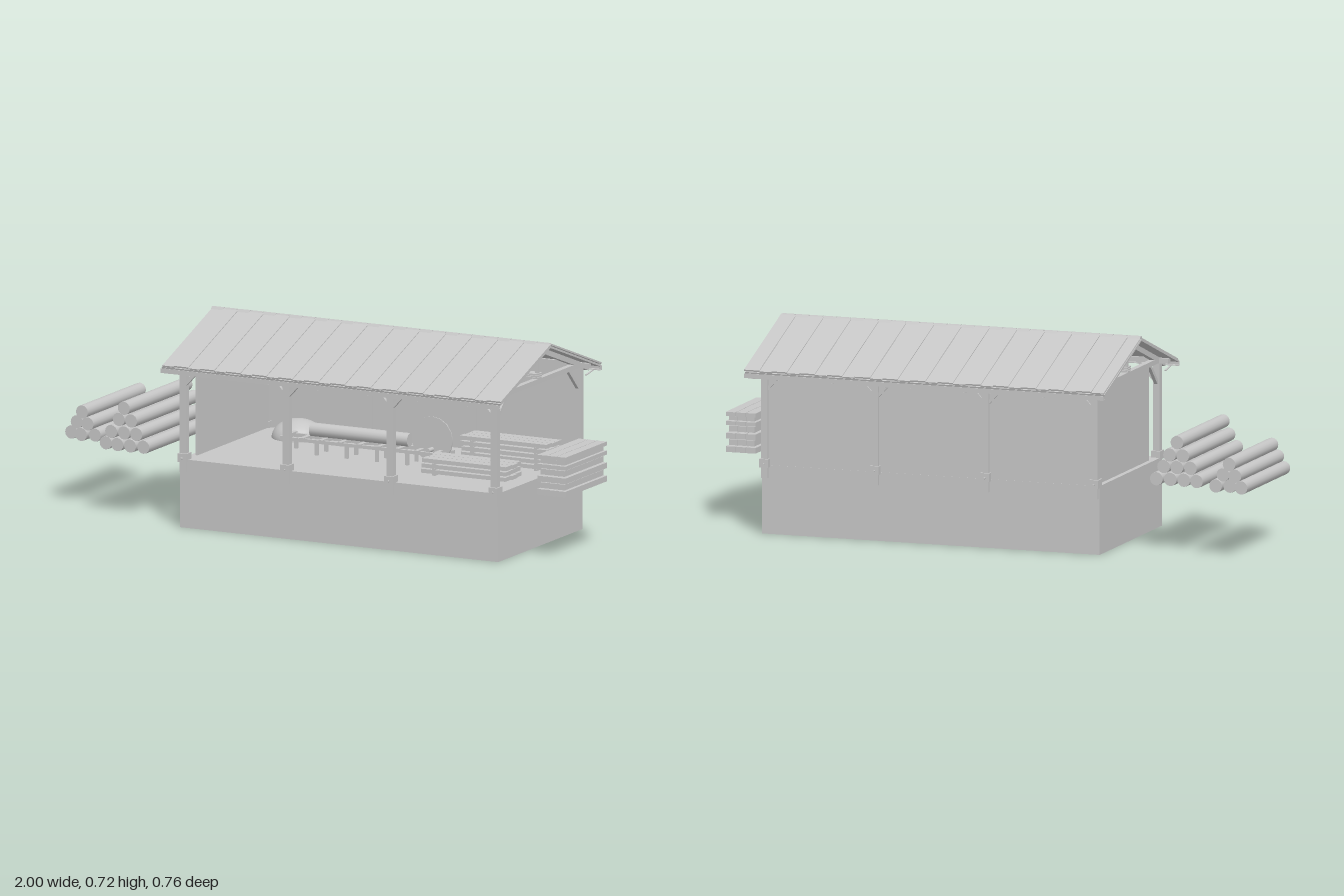
import * as THREE from 'three';

export function createModel() {
  const root = new THREE.Group();
  const grey = new THREE.MeshStandardMaterial({ color: 0xc6c6c6 });
  grey.name = 'plain grey';
  let seed = 7;
  const rnd = () => (seed = (seed * 16807) % 2147483647) / 2147483647;

  function group(name) {
    const g = new THREE.Group();
    g.name = name;
    root.add(g);
    return g;
  }
  function add(parent, name, geo, x = 0, y = 0, z = 0) {
    const m = new THREE.Mesh(geo, grey);
    m.name = name;
    m.position.set(x, y, z);
    parent.add(m);
    return m;
  }
  // Box given by its limits on each axis
  function block(parent, name, x0, x1, y0, y1, z0, z1) {
    return add(parent, name, new THREE.BoxGeometry(x1 - x0, y1 - y0, z1 - z0),
      (x0 + x1) / 2, (y0 + y1) / 2, (z0 + z1) / 2);
  }
  // Sloping bar between two points
  function bar(parent, name, a, b, w, h) {
    const p = new THREE.Vector3(...a), q = new THREE.Vector3(...b);
    const m = add(parent, name, new THREE.BoxGeometry(w, h, p.distanceTo(q)));
    m.position.copy(p).add(q).multiplyScalar(0.5);
    m.lookAt(q);
    return m;
  }
  function log(parent, name, r, len, x, y, z, alongX = false) {
    const m = add(parent, name, new THREE.CylinderGeometry(r, r, len, 16), x, y, z);
    if (alongX) m.rotation.z = Math.PI / 2;
    else m.rotation.x = Math.PI / 2;
    return m;
  }

  // Foundation and walls
  const building = group('building');
  block(building, 'foundation', -0.472, 0.776, 0, 0.242, -0.312, 0.312);
  block(building, 'backWall', -0.456, 0.765, 0.24, 0.58, -0.311, -0.303);
  const side = new THREE.Shape();
  side.moveTo(-0.305, 0.24);
  side.lineTo(-0.305, 0.58);
  side.lineTo(0.225, 0.58);
  side.lineTo(0.232, 0.568);
  side.lineTo(0.232, 0.24);
  const sideGeo = new THREE.ExtrudeGeometry(side, { depth: 0.008, bevelEnabled: false });
  sideGeo.rotateY(-Math.PI / 2);
  add(building, 'sideWall', sideGeo, -0.446, 0, 0);

  // Posts with footings and braces
  const frame = group('timberFrame');
  const postX = [-0.456, -0.053, 0.355, 0.764];
  const P = 0.012;
  for (const s of [1, -1]) {
    const z = s * 0.31;
    postX.forEach((x, i) => {
      block(frame, 'post', x - P, x + P, 0.24, 0.59, z - P, z + P);
      block(frame, 'postFootPlate', x - P, x + P, 0.197, 0.24, z - P, z + P);
      block(frame, 'postFootCollar', x - 0.017, x + 0.017, 0.235, 0.265, z - 0.02, z + 0.02);
      const bolt = log(frame, 'bolt', 0.004, 0.008, x, 0.248, z + s * 0.022);
      bolt.scale.y = 1;
      for (const d of [-1, 1]) {
        if ((i === 0 && d < 0) || (i === 3 && d > 0)) continue;
        bar(frame, 'longBrace', [x + d * 0.008, 0.51, z], [x + d * 0.07, 0.578, z], 0.012, 0.011);
      }
    });
    block(frame, 'wallPlate', -0.5, 0.805, 0.574, 0.592, z - P, z + P);
  }

  // Trusses
  const roofY = (z, top = 0.717) => top - Math.abs(z) * 0.364;
  for (const x of postX) {
    block(frame, 'tieBeam', x - 0.01, x + 0.01, 0.574, 0.592, -0.31, 0.31);
    block(frame, 'kingPost', x - 0.006, x + 0.006, 0.59, 0.7, -0.006, 0.006);
    for (const s of [1, -1]) {
      bar(frame, 'rafter', [x, 0.695, 0], [x, roofY(0.365, 0.695), s * 0.365], 0.02, 0.019);
      bar(frame, 'crossBrace', [x, 0.505, s * 0.3], [x, 0.578, s * 0.228], 0.012, 0.013);
    }
  }
  for (let i = 0; i < 3; i++) {
    const w = 0.014 + i * 0.003;
    block(frame, 'storedBoard', -0.466, 0.774, 0.592 + i * 0.007, 0.597 + i * 0.007, -w, w);
  }

  // Roof of overlapping boards, ridge caps, gutters
  const roof = group('roof');
  const X0 = -0.512, X1 = 0.817, N = 26, step = (X1 - X0) / N;
  for (const s of [1, -1]) {
    bar(roof, 'roofDeck', [(X0 + X1) / 2, 0.708, 0],
      [(X0 + X1) / 2, roofY(0.372, 0.708), s * 0.372], X1 - X0, 0.007);
    for (let i = 0; i < N; i++) {
      const x = X0 + (i + 0.5) * step;
      const top = 0.714 + (i % 2) * 0.003;
      bar(roof, 'roofBoard', [x, top, 0], [x, roofY(0.373, top), s * 0.373],
        step * (i % 2 ? 1.1 : 0.9), 0.006);
    }
    block(roof, 'gutterFloor', X0, X1, 0.556, 0.559, s * 0.372 - 0.006, s * 0.372 + 0.006);
    block(roof, 'gutterLip', X0, X1, 0.556, 0.572, s * 0.38 - 0.0015, s * 0.38 + 0.0015);
    for (let i = 0; i < 14; i++) {
      const x = X0 + 0.03 + i * (X1 - X0 - 0.06) / 13;
      bar(roof, 'gutterBracket', [x, 0.556, s * 0.378], [x, 0.546, s * 0.318], 0.006, 0.003);
    }
  }
  const cap = new THREE.Shape();
  cap.moveTo(-0.013, 0.711);
  cap.lineTo(0.013, 0.711);
  cap.lineTo(0.005, 0.721);
  cap.lineTo(-0.005, 0.721);
  const capGeo = new THREE.ExtrudeGeometry(cap, { depth: step * 0.92, bevelEnabled: false });
  capGeo.rotateY(Math.PI / 2);
  for (let i = 0; i < N; i++) add(roof, 'ridgeCap', capGeo, X0 + (i + 0.04) * step, 0, 0);

  // Triangular log stacks
  function logStack(name, rows, x, y, pitch, rise, r, z, len) {
    const g = group(name);
    for (let j = 0; j < rows; j++) {
      for (let i = 0; i < rows - j; i++) {
        log(g, 'log', r, len, x + (i - (rows - 1 - j) / 2) * pitch, y + j * rise,
          z + (rnd() - 0.5) * 0.02);
      }
    }
  }
  logStack('smallLogStack', 3, -0.929, 0.259, 0.048, 0.039, 0.0235, -0.04, 0.43);
  logStack('largeLogStack', 4, -0.713, 0.259, 0.05, 0.0437, 0.0235, 0.037, 0.465);

  // Stacked planks beside the shed
  const outer = group('outdoorPlankStack');
  const layers = [0.235, 0.258, 0.282, 0.306, 0.33, 0.346, 0.362];
  layers.forEach((y, i) => {
    const short = i % 2;
    const h = (i < 4 ? 0.02 : 0.014);
    const z0 = short ? -0.066 : -0.078, z1 = short ? 0.221 : 0.229;
    const a = short ? 0.893 : 0.885, b = short ? 0.99 : 0.997, w = (b - a) / 3;
    for (let k = 0; k < 3; k++) {
      block(outer, 'plank', a + k * w + 0.001, a + (k + 1) * w - 0.001, y, y + h, z0, z1);
    }
  });

  // Plank stacks inside, running lengthways with spacers
  function plankStack(name, x0, x1, z0, z1, count) {
    const g = group(name);
    const w = (z1 - z0) / 3;
    for (let j = 0; j < count; j++) {
      const y = 0.248 + j * 0.019;
      for (let k = 0; k < 3; k++) {
        const d = (rnd() - 0.5) * 0.012;
        block(g, 'plank', x0 + d, x1 + d, y, y + 0.014, z0 + k * w + 0.001, z0 + (k + 1) * w - 0.001);
      }
      for (const x of [x0 + 0.04, x1 - 0.05]) {
        block(g, 'spacer', x, x + 0.012, y - 0.006, y, z0, z1);
      }
    }
  }
  plankStack('backPlankStack', 0.415, 0.755, -0.19, -0.087, 5);
  plankStack('frontPlankStack', 0.39, 0.72, 0.03, 0.15, 3);

  // Saw bench with log and circular blade
  const saw = group('sawBench');
  for (const z of [-0.035, 0.035]) {
    block(saw, 'rail', -0.22, 0.42, 0.284, 0.296, z - 0.006, z + 0.006);
    for (let i = 0; i < 6; i++) {
      const x = -0.2 + i * 0.118;
      block(saw, 'leg', x - 0.006, x + 0.006, 0.242, 0.284, z - 0.005, z + 0.005);
    }
  }
  for (let i = 0; i < 9; i++) {
    const x = -0.21 + i * 0.075;
    block(saw, 'crossBar', x - 0.008, x + 0.008, 0.286, 0.3, -0.05, 0.05);
  }
  log(saw, 'logOnBench', 0.024, 0.385, 0.073, 0.324, 0, true);
  log(saw, 'sawBlade', 0.08, 0.004, 0.353, 0.336, 0);
  log(saw, 'bladeAxle', 0.008, 0.07, 0.353, 0.3, 0);

  // Sawdust heap and barrow
  const heap = new THREE.SphereGeometry(1, 24, 8, 0, Math.PI * 2, 0, Math.PI / 2);
  heap.scale(0.093, 0.066, 0.09);
  add(root, 'sawdustHeap', heap, -0.28, 0.242, -0.2);
  const barrow = group('barrow');
  const tray = new THREE.CylinderGeometry(0.036, 0.026, 0.026, 4);
  tray.rotateY(Math.PI / 4);
  add(barrow, 'tray', tray, -0.165, 0.27, -0.245);
  log(barrow, 'wheel', 0.012, 0.008, -0.205, 0.254, -0.245);
  for (const s of [1, -1]) {
    bar(barrow, 'handle', [-0.2, 0.256, -0.245 + s * 0.01], [-0.105, 0.276, -0.245 + s * 0.024], 0.004, 0.004);
    block(barrow, 'foot', -0.146, -0.141, 0.242, 0.262, -0.247 + s * 0.017, -0.243 + s * 0.017);
  }

  return root;
}
